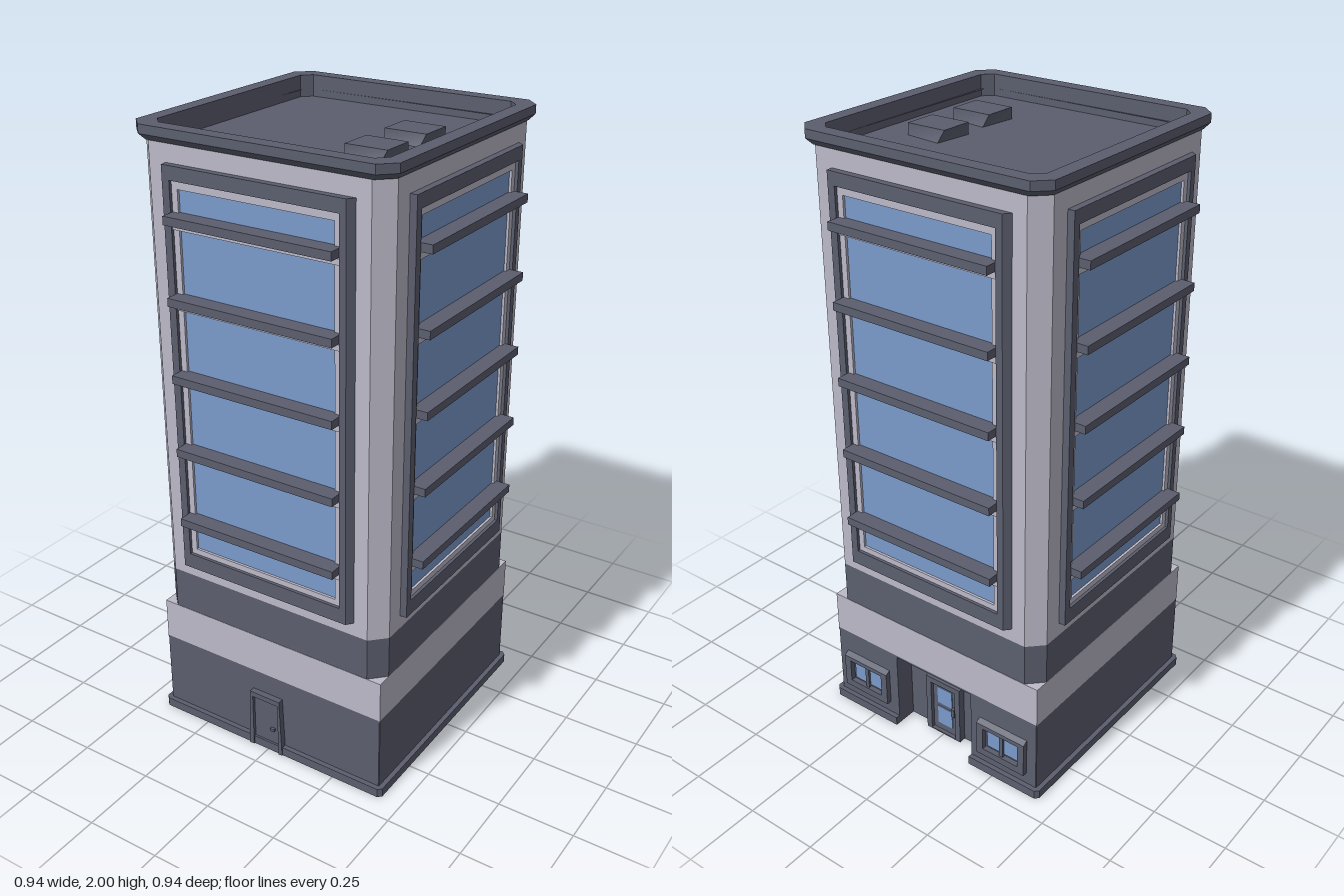
import * as THREE from 'three';

const mat = (name, color) => {
  const m = new THREE.MeshStandardMaterial({ color });
  m.name = name;
  return m;
};

export function createModel() {
  const dark = mat('slate', 0x5b5e6e);
  const light = mat('pale stone', 0xbdbac9);
  const blue = mat('blue glass', 0x7a9aca);
  const model = new THREE.Group();

  const add = (parent, name, geo, material) => {
    const mesh = new THREE.Mesh(geo, material);
    mesh.name = name;
    parent.add(mesh);
    return mesh;
  };
  // Box given by its limits
  const box = (parent, name, material, x0, x1, y0, y1, z0, z1) => {
    const g = new THREE.BoxGeometry(x1 - x0, y1 - y0, z1 - z0);
    g.translate((x0 + x1) / 2, (y0 + y1) / 2, (z0 + z1) / 2);
    return add(parent, name, g, material);
  };
  const vecs = (pts) => pts.map(([x, y]) => new THREE.Vector2(x, y));
  const extrude = (pts, hole, depth) => {
    const shape = new THREE.Shape(vecs(pts));
    if (hole) shape.holes.push(new THREE.Path(vecs(hole)));
    return new THREE.ExtrudeGeometry(shape, { depth, bevelEnabled: false });
  };
  // Upright prism over a floor plan; plan y points to the back
  const prism = (pts, hole, y0, y1) =>
    extrude(pts, hole, y1 - y0).rotateX(-Math.PI / 2).translate(0, y0, 0);
  // Square plan with cut corners
  const oct = (r, c) => [
    [r, c - r], [r, r - c], [r - c, r], [c - r, r],
    [-r, r - c], [-r, c - r], [c - r, -r], [r - c, -r],
  ];
  const rect = (x0, x1, y0, y1) => [[x0, y0], [x1, y0], [x1, y1], [x0, y1]];
  // Move vertices by a rule
  const warp = (geo, rule) => {
    const p = geo.attributes.position;
    const v = new THREE.Vector3();
    for (let i = 0; i < p.count; i++) {
      rule(v.fromBufferAttribute(p, i));
      p.setXYZ(i, v.x, v.y, v.z);
    }
    geo.computeVertexNormals();
    return geo;
  };

  // Ground floor, with the entrance recess cut into the back
  const W = 0.414, N = 0.155, D = 0.07;
  const notched = (r, c) => [
    [c - r, -r], [r - c, -r], [r, c - r], [r, r - c], [r - c, r],
    [N, r], [N, W - D], [-N, W - D], [-N, r], [c - r, r], [-r, r - c], [-r, c - r],
  ];
  add(model, 'groundFloor', prism(notched(W, 0.002), null, 0, 0.275), dark);
  add(model, 'plinth', prism(notched(0.43, 0.012), null, 0, 0.03), dark);
  box(model, 'recessCeiling', dark, -W, W, 0.275, 0.282, -W, W);
  box(model, 'stoneBand', light, -W, W, 0.282, 0.42, -W, W);

  // Tower with cut corners
  add(model, 'towerBase', prism(oct(0.413, 0.048), null, 0.42, 0.56), dark);
  add(model, 'tower', prism(oct(0.413, 0.048), null, 0.56, 1.925), light);
  add(model, 'towerCollar', prism(oct(0.413, 0.048), oct(0.39, 0.033), 1.925, 1.957), light);

  // Roof and parapet
  add(model, 'roofFloor', prism(oct(0.39, 0.033), null, 1.925, 1.932), dark);
  add(model, 'parapetLining', prism(oct(0.39, 0.033), oct(0.381, 0.03), 1.932, 1.957), dark);
  add(model, 'parapet', prism(oct(0.43, 0.045), oct(0.381, 0.03), 1.973, 2), dark);
  const flare = warp(prism(oct(0.43, 0.045), oct(0.381, 0.03), 1.955, 1.973), (v) => {
    if (v.y < 1.96 && Math.max(Math.abs(v.x), Math.abs(v.z)) > 0.4) {
      v.x *= 0.965;
      v.z *= 0.965;
    }
  });
  add(model, 'parapetFlare', flare, dark);

  // Roof units with a slightly twisted foot
  for (const z of [-0.07, 0.137]) {
    const g = warp(new THREE.BoxGeometry(0.136, 0.036, 0.11), (v) => {
      if (v.y < 0 && v.x * v.z > 0) {
        v.x = Math.sign(v.x) * 0.055;
        v.z = Math.sign(v.z) * 0.07;
      }
    });
    add(model, 'roofUnit', g, dark).position.set(0.2075, 1.95, z);
  }

  // The same tall window on each of the four sides
  for (let side = 0; side < 4; side++) {
    const bay = new THREE.Group();
    bay.name = 'windowBay';
    bay.rotation.y = side * Math.PI / 2;
    model.add(bay);

    // Outer frame, its right edge sloping back to the wall
    const outer = extrude(rect(-0.305, 0.302, 0.605, 1.9), rect(-0.28, 0.28, 0.655, 1.858), 0.027);
    warp(outer, (v) => {
      if (v.z < 0.01 && v.x > 0.29) v.x = 0.322;
    });
    add(bay, 'outerFrame', outer.translate(0, 0, 0.408), dark);
    const inner = extrude(rect(-0.28, 0.28, 0.655, 1.858), rect(-0.26, 0.26, 0.674, 1.833), 0.015);
    add(bay, 'innerFrame', inner.translate(0, 0, 0.41), light);
    box(bay, 'glass', blue, -0.265, 0.265, 0.665, 1.845, 0.409, 0.417);

    // Sun shades with a pale rail under each
    for (let i = 0; i < 5; i++) {
      const y = 0.787 + i * 0.2415;
      box(bay, 'sunShade', dark, -0.28, 0.28, y - 0.013, y + 0.013, 0.412, 0.471);
      box(bay, 'shadeRail', light, -0.278, 0.278, y - 0.036, y - 0.018, 0.412, 0.432);
    }
  }

  // Front service door, its frame flaring toward the ground
  const doorFrame = extrude([
    [-0.072, 0], [-0.054, 0], [-0.054, 0.192], [0.043, 0.192],
    [0.043, 0], [0.058, 0], [0.05, 0.21], [-0.064, 0.21],
  ].reverse(), null, 0.022);
  add(model, 'serviceDoorFrame', doorFrame.translate(0, 0, 0.412), dark);
  box(model, 'serviceDoor', dark, -0.054, 0.043, 0, 0.192, 0.41, 0.431 - 0.008);
  box(model, 'doorHandle', dark, 0.01, 0.026, 0.08, 0.09, 0.42, 0.432);

  // Back entrance, built facing forward and turned round
  const back = new THREE.Group();
  back.name = 'backEntrance';
  back.rotation.y = Math.PI;
  model.add(back);
  const R = W - D;
  const entry = extrude(rect(-0.07, 0.07, 0, 0.215), rect(-0.05, 0.05, 0.004, 0.195), 0.025);
  add(back, 'entranceFrame', entry.translate(0, 0, R), dark);
  box(back, 'entranceDoor', dark, -0.05, 0.05, 0, 0.195, R - 0.005, R + 0.012);
  box(back, 'doorGlassUpper', blue, -0.03, 0.03, 0.115, 0.18, R + 0.01, R + 0.015);
  box(back, 'doorGlassLower', blue, -0.03, 0.03, 0.03, 0.1, R + 0.01, R + 0.015);
  box(back, 'entranceHandle', dark, 0.033, 0.045, 0.09, 0.12, R + 0.01, R + 0.024);

  // Ground floor windows either side of the recess
  for (const s of [-1, 1]) {
    const win = new THREE.Group();
    win.name = 'groundWindow';
    win.position.x = s * 0.284;
    back.add(win);
    const f = extrude(rect(-0.093, 0.093, 0.072, 0.205), rect(-0.068, 0.068, 0.097, 0.178), 0.022);
    warp(f, (v) => {
      if (v.z > 0.01 && v.y > 0.2) v.y -= 0.012;
    });
    add(win, 'groundWindowFrame', f.translate(0, 0, 0.41), dark);
    box(win, 'groundWindowGlass', blue, -0.06, 0.06, 0.105, 0.17, 0.412, 0.418);
    box(win, 'groundWindowMullion', dark, -0.007, 0.007, 0.097, 0.178, 0.412, 0.426);
  }

  return model;
}
